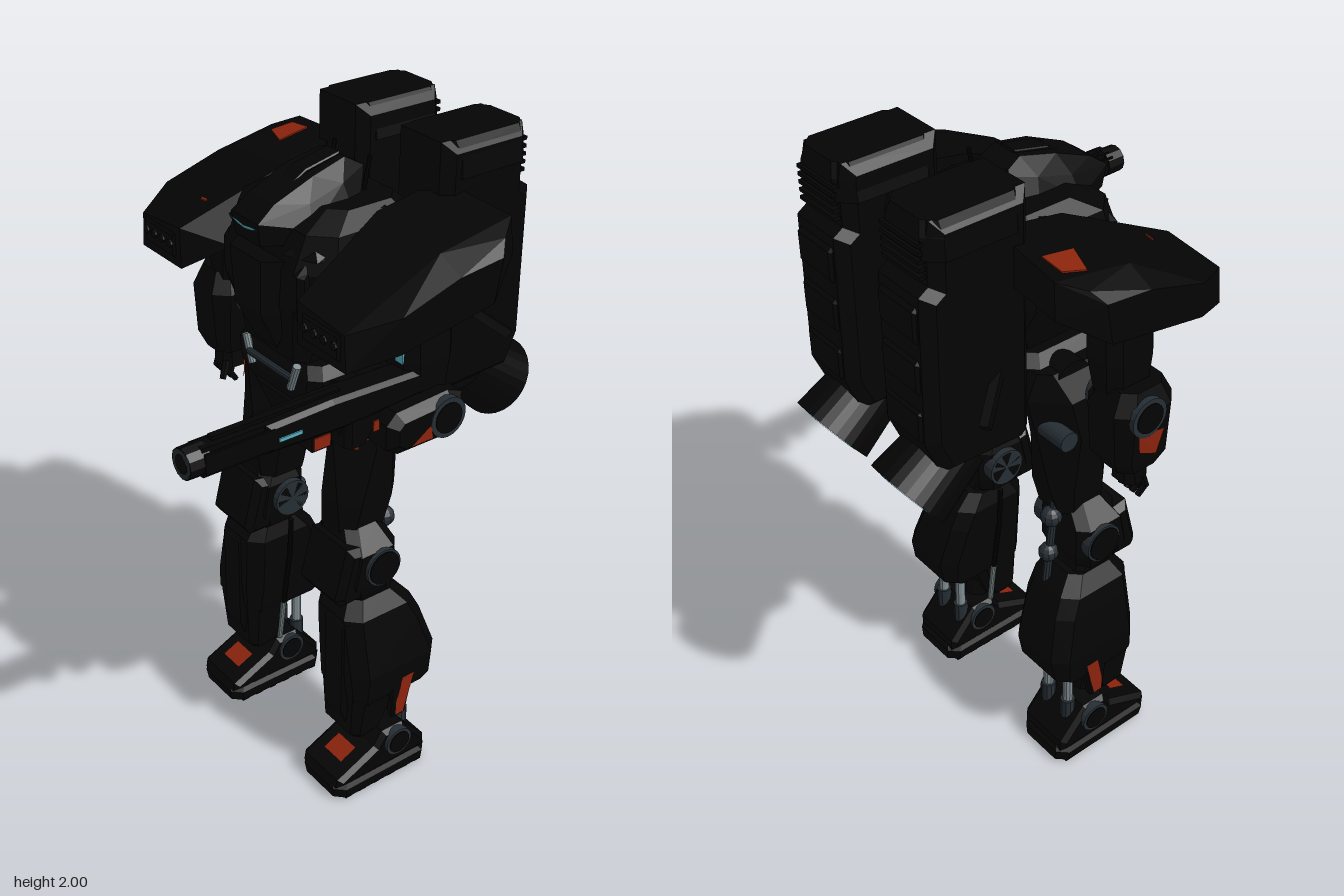
import * as THREE from 'three';
import { ConvexGeometry } from 'three/addons/geometries/ConvexGeometry.js';

const paint = (name, color, side = THREE.FrontSide) => {
  const m = new THREE.MeshStandardMaterial({ color, side, flatShading: true });
  m.name = name;
  return m;
};
const V = (p) => new THREE.Vector3(...p);

// Closed body from chamfered rectangles; rows are [y, x0, x1, z0, z1, chamfer]
function loft(rows) {
  const pos = [], idx = [];
  for (const [y, a, b, d, e, c] of rows)
    for (const [x, z] of [[a + c, e], [b - c, e], [b, e - c], [b, d + c], [b - c, d], [a + c, d], [a, d + c], [a, e - c]])
      pos.push(x, y, z);
  const last = (rows.length - 1) * 8;
  for (let r = 0; r < last; r += 8)
    for (let i = 0; i < 8; i++) {
      const j = (i + 1) % 8;
      idx.push(r + i, r + j, r + 8 + j, r + i, r + 8 + j, r + 8 + i);
    }
  for (let i = 1; i < 7; i++) idx.push(0, i + 1, i, last, last + i, last + i + 1);
  return finish(pos, idx);
}
function finish(pos, idx) {
  const g = new THREE.BufferGeometry();
  g.setAttribute('position', new THREE.Float32BufferAttribute(pos, 3));
  g.setIndex(idx);
  const out = g.toNonIndexed();
  out.computeVertexNormals();
  return out;
}
// Thin painted polygon, fanned from its first point
const decal = (pts) => finish(pts.flat(), pts.slice(2).flatMap((_, i) => [0, i + 1, i + 2]));
const hull = (pts) => new ConvexGeometry(pts.map(V));
const box = (x0, x1, y0, y1, z0, z1) =>
  new THREE.BoxGeometry(x1 - x0, y1 - y0, z1 - z0).translate((x0 + x1) / 2, (y0 + y1) / 2, (z0 + z1) / 2);
// Side outline of [z, y] points given thickness from x0 to x1
function slab(outline, x0, x1, b = 0.015) {
  const shape = new THREE.Shape(outline.map(([z, y]) => new THREE.Vector2(z, y)));
  return new THREE.ExtrudeGeometry(shape, {
    depth: x1 - x0 - 2 * b, bevelSegments: 1, bevelSize: b, bevelThickness: b, bevelOffset: -b,
  }).rotateY(-Math.PI / 2).translate(x1 - b, 0, 0);
}
// Cylinder between two points
function bar(p, q, r, r2 = r, sides = 10) {
  const a = V(p), d = V(q).sub(a);
  const turn = new THREE.Quaternion().setFromUnitVectors(new THREE.Vector3(0, 1, 0), d.clone().normalize());
  return new THREE.CylinderGeometry(r2, r, d.length(), sides)
    .translate(0, d.length() / 2, 0).applyQuaternion(turn).translate(...p);
}
const ball = (x, y, z, r) => new THREE.SphereGeometry(r, 10, 8).translate(x, y, z);
const disc = (x0, x1, y, z, r) => bar([x0, y, z], [x1, y, z], r, r, 20);
function flip(geo) {
  const g = geo.index ? geo.toNonIndexed() : geo, p = g.attributes.position;
  const pos = [], idx = [];
  for (let i = 0; i < p.count; i++) {
    pos.push(-p.getX(i), p.getY(i), p.getZ(i));
    if (i % 3 === 0) idx.push(i, i + 2, i + 1);
  }
  return finish(pos, idx);
}
// Top of the shoulders, creased at z = -0.1, and thin paint lying on it
const top = (x, z, lift = 0) => [x, 1.862 - 0.17 * (z + 0.3) - 0.25 * Math.max(0, z + 0.1) - 0.1 * (x - 0.28) + lift, z];
const topPaint = (pts) => hull(pts.flatMap(([x, z]) => [top(x, z, 0.004), top(x, z, -0.004)]));
// Point on the bevelled front corner of the thigh
const thighPoint = ([t, y]) => {
  const k = (1.3 - y) / 0.12;
  return [0.198 + k * 0.017 + t * 0.085, y, 0.054 - k * 0.01 - t * 0.085];
};

export function createModel() {
  const black = paint('black armour', 0x040404), slate = paint('slate joint', 0x262e34);
  const steel = paint('steel piston', 0x7f8c90), orange = paint('orange marking', 0x8c240d, THREE.DoubleSide);
  const cyan = paint('cyan light', 0x55b2c2, THREE.DoubleSide);
  const model = new THREE.Group();
  const group = (name) => { const g = new THREE.Group(); g.name = name; model.add(g); return g; };
  let into = model, sides = [1];
  const put = (name, geo, mat = black) => sides.forEach((s) => {
    const m = new THREE.Mesh(s > 0 ? geo : flip(geo), mat);
    m.name = name;
    into.add(m);
  });

  // Torso, waist and pelvis
  into = group('torso');
  put('chest', loft([[1.42, -.14, .14, -.19, .1, .03], [1.5, -.17, .17, -.25, .11, .05], [1.59, -.22, .22, -.27, .13, .07],
    [1.7, -.23, .23, -.27, .13, .08], [1.8, -.21, .21, -.26, .09, .06], [1.84, -.16, .16, -.22, .0, .04]]));
  put('chestPlate', hull([[-.06, 1.56, .17], [.06, 1.56, .17], [-.07, 1.72, .175], [.07, 1.72, .175],
    [-.05, 1.44, .11], [.05, 1.44, .11], [-.12, 1.72, .1], [.12, 1.72, .1], [-.1, 1.56, .1], [.1, 1.56, .1]]));
  put('waist', loft([[1.3, -.12, .12, -.17, .08, .03], [1.45, -.12, .12, -.17, .08, .03]]));
  put('pelvis', loft([[1.23, -.11, .11, -.16, .06, .03], [1.32, -.18, .18, -.19, .09, .03], [1.38, -.19, .19, -.19, .09, .03],
    [1.41, -.16, .16, -.17, .07, .03]]));
  put('crotchGuard', loft([[1.12, -.06, .06, -.13, .02, .015], [1.2, -.08, .08, -.15, .06, .02], [1.28, -.1, .1, -.17, .09, .02]]));
  put('packMount', box(-.055, .055, 1.5, 1.72, -.41, -.25));
  put('waistPipe', bar([-.1, 1.365, .1], [.1, 1.365, .1], .011), slate);
  sides = [1, -1];
  put('waistPiston', bar([.09, 1.33, .095], [.12, 1.41, .095], .012), steel);
  put('chestRib', slab([[.08, 1.47], [.13, 1.6], [.13, 1.7], [.1, 1.73], [.03, 1.5]], .11, .18));
  put('collar', hull([[.1, 1.74, .13], [.2, 1.74, .09], [.09, 1.84, -.15], [.18, 1.83, -.15], [.1, 1.74, -.2], [.2, 1.76, -.2], [.14, 1.8, .06]]));

  // Broad domed head with a thin glowing visor
  into = group('head');
  sides = [1];
  put('helmet', hull([-1, 1].flatMap((s) => [[s * .055, 1.755, .165], [s * .06, 1.82, .175], [s * .055, 1.86, .12],
    [s * .06, 1.91, 0], [s * .05, 1.935, -.11], [s * .055, 1.9, -.17], [s * .085, 1.88, -.08], [s * .088, 1.85, .03],
    [s * .115, 1.79, .04], [s * .12, 1.78, -.1], [s * .08, 1.76, -.17], [s * .1, 1.75, .06]])));
  put('crest', slab([[.06, 1.88], [0, 1.918], [-.11, 1.942], [-.12, 1.88]], -.03, .03, .004));
  put('visor', decal([[0, 1.8, .178], [.03, 1.805, .178], [.062, 1.806, .178], [.03, 1.796, .177], [0, 1.791, .176],
    [-.03, 1.796, .177], [-.062, 1.806, .178], [-.03, 1.805, .178]]), cyan);
  sides = [1, -1];
  put('antenna', bar([.075, 1.8, -.15], [.075, 1.93, -.175], .006));

  // Broad sloping shoulders
  into = group('shoulders');
  put('shoulderArmour', hull([top(.28, -.32), top(.45, -.335), top(.2, -.24), top(.2, -.1), top(.45, -.1), top(.27, .205), top(.46, .205),
    [.5, 1.825, -.27], [.53, 1.79, -.24], [.53, 1.775, -.1], [.53, 1.72, .08], [.28, 1.75, -.32], [.46, 1.75, -.34], [.53, 1.67, -.22],
    [.53, 1.62, .08], [.47, 1.58, .205], [.27, 1.58, .205], [.2, 1.64, .08], [.23, 1.66, -.2], [.35, 1.56, .08], [.45, 1.57, .08]]));
  put('shoulderRim', hull([[.29, 1.68, .2], [.45, 1.68, .2], [.29, 1.6, .2], [.45, 1.6, .2],
    [.3, 1.67, .212], [.44, 1.67, .212], [.3, 1.61, .212], [.44, 1.61, .212]]));
  for (let i = 0; i < 4; i++) put('launcherPort', bar([.31 + i * .04, 1.645, .205], [.31 + i * .04, 1.645, .218], .012, .012, 8));
  put('shoulderJoint', disc(.18, .4, 1.6, -.08, .06));
  sides = [-1];
  put('shoulderMark', topPaint([[.3, .092], [.325, .092], [.325, .099], [.3, .099]]), orange);
  put('shoulderPatch', topPaint([[.35, -.29], [.425, -.29], [.44, -.225], [.35, -.19]]), orange);

  // Twin thruster packs
  into = group('thrusterPacks');
  sides = [1, -1];
  put('packBody', slab([[-.26, 2], [-.54, 2], [-.55, 1.96], [-.55, 1.83], [-.58, 1.81], [-.585, 1.38], [-.54, 1.27], [-.29, 1.26], [-.26, 1.29]], .065, .285, .03));
  put('packCap', loft([[1.9, .06, .29, -.56, -.27, .04], [1.96, .07, .285, -.56, -.27, .04], [2, .09, .265, -.55, -.27, .03]]));
  for (let i = 0; i < 5; i++) put('coolingFin', box(.1, .25, 1.85 + i * .022, 1.86 + i * .022, -.57, -.54));
  for (let i = 0; i < 3; i++) put('backPanel', slab([[-.57, 1.79 - i * .15], [-.592, 1.77 - i * .15], [-.592, 1.69 - i * .15], [-.57, 1.66 - i * .15]], .1, .25, .008));
  put('packFin', bar([.27, 1.52, -.36], [.345, 1.43, -.465], .018, .018, 4));
  put('nozzle', bar([.175, 1.29, -.44], [.175, 1.178, -.593], .1, .12, 28));
  const facing = V([0, -.592, -.806]);
  const face = (name, geo, mat) => put(name, geo.lookAt(facing).translate(.175, 1.176, -.596), mat);
  face('nozzleRim', new THREE.RingGeometry(.086, .117, 28), slate);
  face('nozzleGlow', new THREE.RingGeometry(.068, .086, 28), cyan);
  face('nozzleCore', new THREE.CircleGeometry(.068, 28), black);

  // Legs
  into = group('legs');
  put('hipJoint', disc(.12, .24, 1.34, -.085, .06));
  put('thigh', loft([[.89, .12, .265, -.13, .03, .03], [1, .11, .285, -.165, .04, .05], [1.18, .1, .297, -.19, .04, .085],
    [1.3, .1, .28, -.21, .05, .085], [1.38, .12, .23, -.18, .03, .03]]));
  put('thighMark', decal([[.5, 1.25], [0, 1.265], [.15, 1.295], [.7, 1.3], [.85, 1.27], [.95, 1.24], [.85, 1.21], [.65, 1.225], [.6, 1.18],
    [.3, 1.18], [.35, 1.22], [0, 1.21], [.1, 1.24], [0, 1.265]].map(thighPoint)), orange);
  put('thighActuator', disc(.2, .312, 1.21, -.16, .03), slate);
  put('kneeBody', loft([[.7, .14, .31, -.1, .05, .03], [.76, .12, .33, -.12, .07, .03], [.86, .12, .33, -.12, .05, .03], [.92, .14, .27, -.1, .02, .03]]));
  put('kneeCap', slab([[.06, .89], [.1, .73], [.08, .7], [.0, .7], [.0, .88]], .125, .325, .02));
  put('kneeDisc', disc(.1, .342, .805, -.05, .06), slate);
  put('kneeHub', disc(.1, .346, .805, -.05, .053));
  put('kneeBall', ball(.22, .88, -.145, .032), slate);
  put('kneeBall', ball(.22, .75, -.155, .03), slate);
  put('kneePiston', bar([.22, .95, -.13], [.22, .62, -.165], .013), slate);
  put('kneeLink', loft([[.6, .17, .32, -.13, .02, .02], [.73, .17, .3, -.1, .02, .02]]));
  put('calf', loft([[.345, .175, .375, -.21, .05, .03], [.37, .165, .383, -.235, .06, .03], [.45, .155, .385, -.25, .065, .04],
    [.58, .145, .358, -.21, .065, .04], [.64, .145, .345, -.18, .065, .04], [.69, .16, .31, -.13, .03, .03]]));
  put('shin', loft([[.185, .2, .335, -.03, .03, .015], [.21, .185, .35, -.06, .05, .02], [.4, .17, .38, -.13, .06, .03]]));
  put('shinRidge', slab([[.05, .24], [.07, .3], [.07, .62], [.05, .65], [.03, .24]], .21, .32));
  put('calfFin', slab([[-.06, .4], [-.15, .4], [-.12, .25], [-.07, .25]], .355, .382, .005));
  put('calfMark', decal([[.387, .4, -.1], [.387, .4, -.145], [.385, .32, -.125], [.385, .26, -.11], [.385, .26, -.08], [.385, .31, -.08]]), orange);
  for (const x of [.225, .315]) {
    put('anklePiston', bar([x, .37, -.155], [x, .15, -.155], .016), steel);
    put('pistonSleeve', bar([x, .13, -.155], [x, .21, -.155], .023), slate);
  }
  put('shinPipe', bar([.122, .71, -.06], [.13, .57, -.06], .008));
  put('shinPipe', bar([.13, .57, -.06], [.165, .36, -.06], .008));
  put('shinRod', bar([.165, .36, -.06], [.188, .2, -.06], .009), steel);

  // Feet
  into = group('feet');
  put('sole', loft([[.008, .18, .375, -.23, .125, .03], [.045, .175, .38, -.23, .13, .03], [.06, .185, .37, -.22, .12, .03]]));
  for (let i = 0; i < 6; i++) put('tread', box(.185, .37, 0, .02, -.205 + i * .055, -.18 + i * .055));
  put('footShell', slab([[-.22, .05], [.125, .05], [.12, .08], [-.02, .145], [-.05, .19], [-.13, .19], [-.22, .09]], .182, .372, .015));
  put('footMark', decal([[.235, .105, .077], [.32, .105, .077], [.32, .132, .019], [.235, .132, .019]]), orange);
  put('ankle', bar([.27, .14, -.06], [.27, .24, -.04], .05));
  put('ankleDisc', disc(.175, .385, .14, -.1, .048), slate);
  put('ankleHub', disc(.172, .388, .14, -.1, .038));

  // Arms
  into = group('arms');
  put('upperArm', loft([[1.42, .36, .47, -.15, -.01, .03], [1.53, .34, .475, -.16, 0, .03], [1.62, .34, .47, -.16, 0, .03]]));
  put('elbowDisc', disc(.35, .533, 1.385, -.085, .058), slate);
  put('elbowHub', disc(.345, .536, 1.385, -.085, .044));
  put('armPiston', bar([.33, 1.58, -.08], [.36, 1.42, -.08], .012), slate);
  sides = [-1];
  put('forearm', loft([[1.19, .385, .5, -.13, .0, .03], [1.24, .36, .52, -.16, .02, .03], [1.4, .35, .53, -.17, .03, .04], [1.46, .38, .51, -.14, .0, .03]]));
  put('forearmMark', decal([[.532, 1.34, -.12], [.532, 1.33, -.03], [.526, 1.25, -.05], [.526, 1.28, -.11]]), orange);
  put('palm', loft([[1.13, .395, .485, -.1, -.02, .02], [1.2, .4, .48, -.1, -.02, .02]]));
  for (let i = 0; i < 4; i++) {
    put('finger', bar([.407 + i * .024, 1.15, -.05], [.407 + i * .024, 1.105, -.035], .011, .011, 6));
    put('fingertip', bar([.407 + i * .024, 1.11, -.037], [.41 + i * .022, 1.08, -.06], .011, .009, 6));
  }
  put('thumb', bar([.4, 1.16, -.02], [.385, 1.11, .005], .013, .01, 6));
  sides = [1];
  put('forearm', slab([[-.15, 1.43], [-.1, 1.45], [.07, 1.44], [.1, 1.41], [.1, 1.34], [.06, 1.315], [-.1, 1.315], [-.15, 1.35]], .35, .53, .025));
  put('forearmMark', decal([[.534, 1.342, .04], [.534, 1.385, -.025], [.534, 1.342, -.035]]), orange);
  put('fist', loft([[1.36, .39, .475, .13, .2, .015], [1.44, .39, .475, .08, .2, .015]]));
  put('wristMark', box(.474, .479, 1.39, 1.42, .101, .12), orange);
  put('armLight', box(.415, .445, 1.53, 1.56, -.005, .004), cyan);

  // Long gun with open slots beside the barrel
  into = group('gun');
  put('receiver', slab([[-.06, 1.44], [-.06, 1.51], [.24, 1.52], [.44, 1.515], [.44, 1.435], [.2, 1.425]], .387, .473, .012));
  put('barrel', box(.413, .459, 1.435, 1.515, .42, .62));
  for (const x of [.396, .466]) put('barrelRail', box(x, x + .008, 1.45, 1.505, .42, .62));
  put('muzzle', bar([.43, 1.475, .6], [.43, 1.475, .66], .043, .042, 12));
  put('muzzleRing', bar([.43, 1.475, .655], [.43, 1.475, .661], .038, .038, 20), slate);
  put('bore', bar([.43, 1.475, .655], [.43, 1.475, .662], .026, .026, 16));
  put('topRail', box(.42, .44, 1.505, 1.525, .2, .58));
  for (const x of [.383, .473]) put('gunLight', box(x, x + .004, 1.465, 1.475, .34, .41), cyan);
  put('magazine', box(.4, .46, 1.385, 1.44, .24, .3));
  for (const x of [.396, .46]) put('magazineMark', box(x, x + .004, 1.39, 1.425, .245, .295), orange);
  put('trigger', slab([[.12, 1.43], [.22, 1.43], [.18, 1.35], [.14, 1.35]], .41, .45, .006));
  return model;
}
